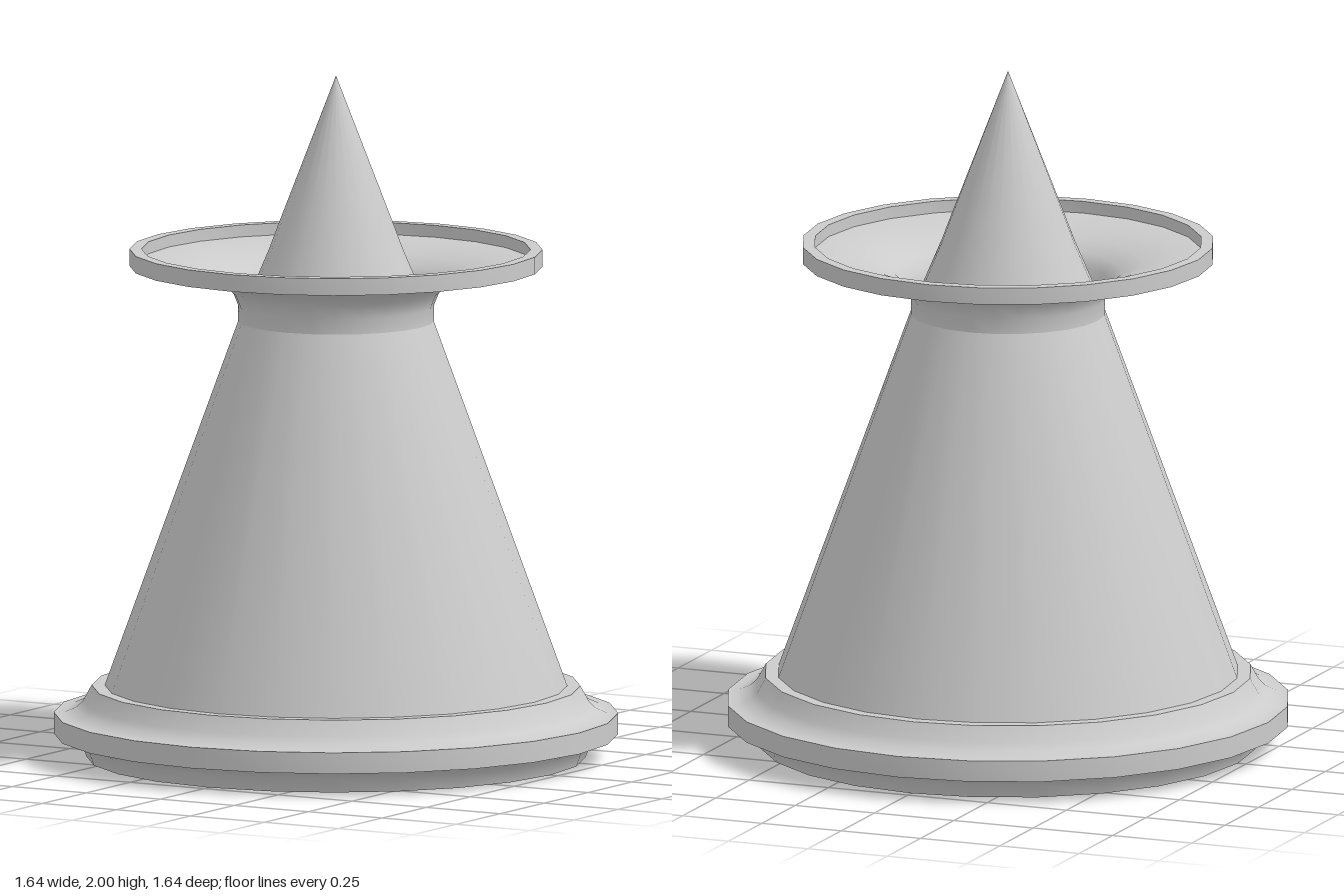
import * as THREE from 'three';
import { toCreasedNormals } from 'three/addons/utils/BufferGeometryUtils.js';

const SIDES = 24;

export function createModel() {
  const group = new THREE.Group();
  const material = new THREE.MeshStandardMaterial({ color: 0xcccccc });

  // Turned part from [radius, height] pairs, with hard edges kept sharp
  const turn = (name, profile) => {
    const points = profile.map(([r, y]) => new THREE.Vector2(r, y));
    const geometry = toCreasedNormals(new THREE.LatheGeometry(points, SIDES), 0.7);
    const mesh = new THREE.Mesh(geometry, material);
    mesh.name = name;
    group.add(mesh);
  };

  // Flared base ring with a flat band around its widest part
  turn('baseRing', [
    [0.65, 0], [0.725, 0], [0.74, 0.04], [0.775, 0.065], [0.82, 0.068],
    [0.82, 0.13], [0.79, 0.13], [0.755, 0.145], [0.735, 0.165], [0.71, 0.21], [0.67, 0.21],
  ]);

  // Tall cone running from the base through the dish to the tip
  turn('cone', [[0.672, 0.21], [0.284, 1.28], [0.195, 1.49], [0.165, 1.57], [0, 2]]);

  // Hollow inside, open at the bottom
  turn('innerWall', [[0, 1.8], [0.578, 0.2], [0.65, 0]]);

  // Collar that sweeps out into a shallow dish with a raised rim
  turn('dish', [
    [0.284, 1.28], [0.284, 1.325], [0.3, 1.365], [0.33, 1.39], [0.39, 1.415], [0.476, 1.437], [0.6, 1.44],
    [0.6, 1.49], [0.565, 1.49],
    [0.565, 1.455], [0.476, 1.45], [0.39, 1.428], [0.33, 1.402], [0.298, 1.37], [0.284, 1.325], [0.283, 1.28],
  ]);

  return group;
}
